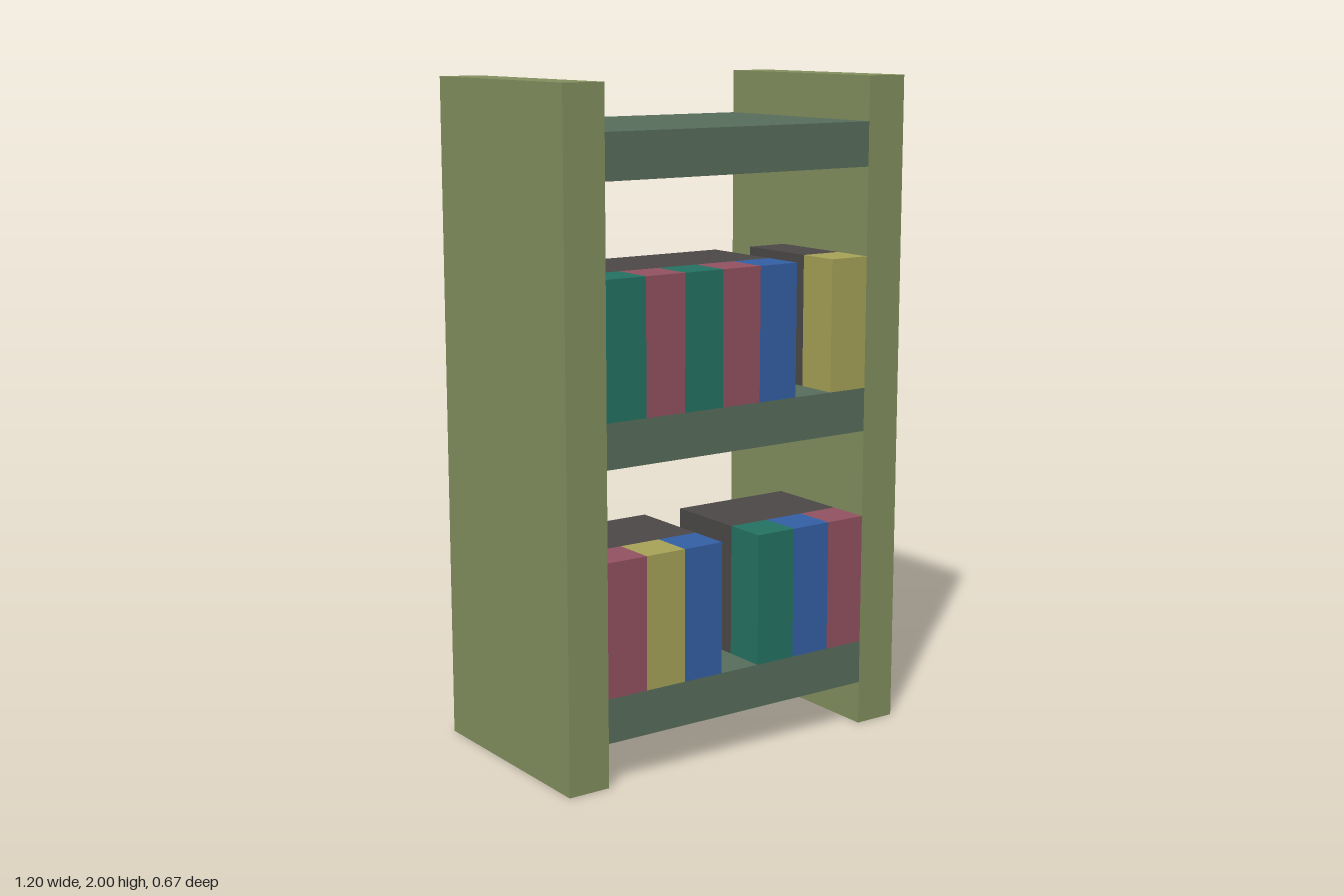
import * as THREE from 'three';

const U = 2 / 15; // block unit: the bookcase is 9 x 15 x 5 units

const material = (color) => new THREE.MeshStandardMaterial({ color });
const frameMat = material(0x83905f);
const shelfMat = material(0x586e5c);
const pagesMat = material(0x4c4848);
const covers = {
  teal: material(0x247363),
  red: material(0x925261),
  blue: material(0x3460a6),
  yellow: material(0xa8a358),
};

// Box given by its minimum corner and size, in block units
function block(name, mat, [x, y, z], [w, h, d]) {
  const mesh = new THREE.Mesh(new THREE.BoxGeometry(w * U, h * U, d * U), mat);
  mesh.name = name;
  mesh.position.set((x + w / 2) * U, (y + h / 2) * U, (z + d / 2) * U);
  return mesh;
}

// Book flush with the shelf front: coloured spine, grey body behind
function book(color, x, y) {
  const group = new THREE.Group();
  group.name = `${color}Book`;
  group.add(
    block('spine', covers[color], [x, y, 1.5], [1, 3, 1]),
    block('pages', pagesMat, [x, y, -0.5], [1, 3, 2]),
  );
  return group;
}

export function createModel() {
  const model = new THREE.Group();
  model.name = 'bookcase';

  // Side panels
  model.add(block('rightPanel', frameMat, [-4.5, 0, -2.5], [1, 15, 5]));
  model.add(block('leftPanel', frameMat, [3.5, 0, -2.5], [1, 15, 5]));

  // Shelves, with their books listed from right to left (-x to +x)
  const shelves = [
    { name: 'bottomShelf', y: 1, books: ['red', 'yellow', 'blue', null, 'teal', 'blue', 'red'] },
    { name: 'middleShelf', y: 7, books: ['teal', 'red', 'teal', 'red', 'blue', null, 'yellow'] },
    { name: 'topShelf', y: 13, books: [] },
  ];
  for (const { name, y, books } of shelves) {
    model.add(block(name, shelfMat, [-3.5, y, -2.5], [7, 1, 5]));
    books.forEach((color, i) => {
      if (color) model.add(book(color, i - 3.5, y + 1));
    });
  }
  return model;
}
